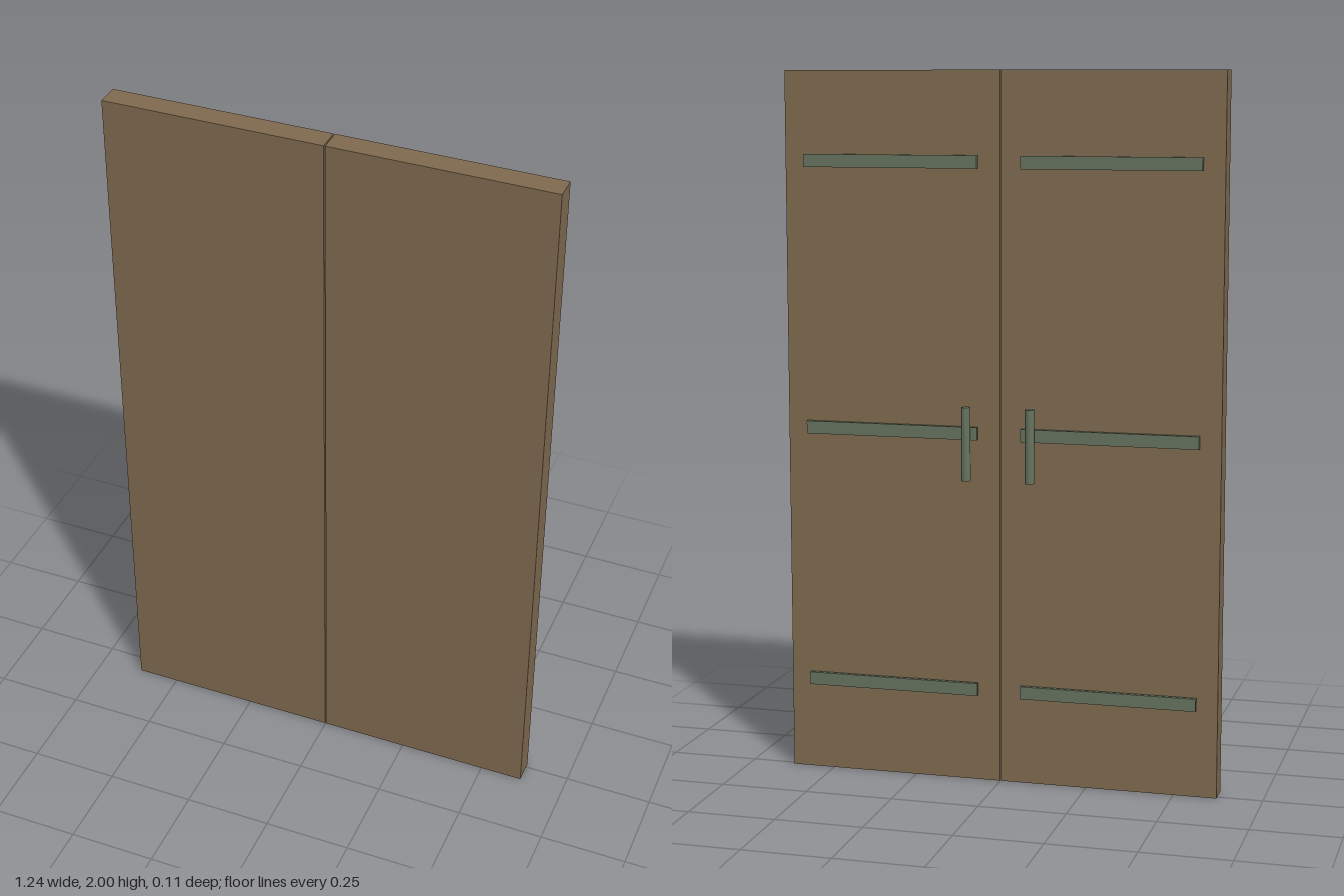
import * as THREE from 'three';

const wood = new THREE.MeshStandardMaterial({ color: 0x806a4f });
const metal = new THREE.MeshStandardMaterial({ color: 0x66735f, flatShading: true });

function addPart(parent, name, geometry, material, x, y, z) {
  const mesh = new THREE.Mesh(geometry, material);
  mesh.name = name;
  mesh.position.set(x, y, z);
  parent.add(mesh);
}

export function createModel() {
  const model = new THREE.Group();
  model.name = 'doubleDoor';

  const leafGeometry = new THREE.BoxGeometry(0.62, 2, 0.067);
  const strapGeometry = new THREE.BoxGeometry(0.5, 0.036, 0.0125);
  const handleGeometry = new THREE.CylinderGeometry(0.0133, 0.0133, 0.207, 12);

  // Two mirrored leaves, with the ironwork on the back
  for (const [side, s] of [['left', 1], ['right', -1]]) {
    const door = new THREE.Group();
    door.name = side + 'Door';
    model.add(door);

    addPart(door, side + 'Leaf', leafGeometry, wood, s * 0.312, 1, 0.0205);

    // Hinge straps, standing slightly clear of the leaf
    ['lower', 'middle', 'upper'].forEach((level, i) => {
      addPart(door, side + level[0].toUpperCase() + level.slice(1) + 'Strap',
        strapGeometry, metal, s * 0.313, [0.267, 1, 1.751][i], -0.0258);
    });

    // Upright bar handle near the seam
    addPart(door, side + 'Handle', handleGeometry, metal, s * 0.092, 0.972, -0.041);
  }

  return model;
}
